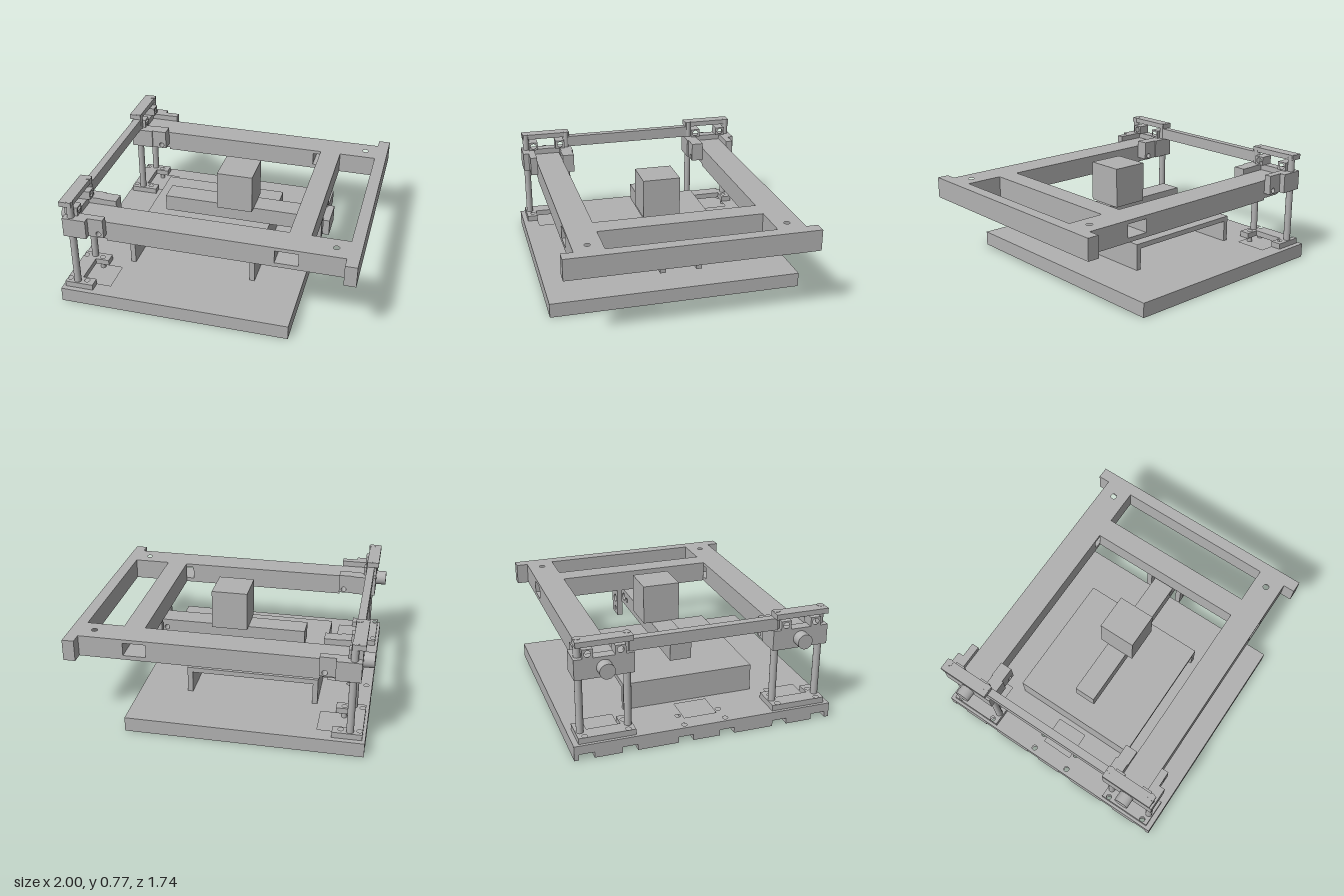
import * as THREE from 'three';

const grey = new THREE.MeshStandardMaterial({ color: 0xb2b2b2 });
grey.name = 'machined grey';

function add(parent, name, geometry) {
  const mesh = new THREE.Mesh(geometry, grey);
  mesh.name = name;
  parent.add(mesh);
  return mesh;
}

// Box given by its limits on each axis
function box(parent, name, x0, x1, y0, y1, z0, z1) {
  const g = new THREE.BoxGeometry(Math.abs(x1 - x0), Math.abs(y1 - y0), Math.abs(z1 - z0));
  g.translate((x0 + x1) / 2, (y0 + y1) / 2, (z0 + z1) / 2);
  return add(parent, name, g);
}

const rect = (a0, a1, b0, b1) => [[a0, b0], [a1, b0], [a1, b1], [a0, b1]];

// Outline with round holes [a, b, radius] and polygon windows, extruded from lo to hi.
// Outline coordinates: axis y -> (x, z), axis z -> (x, y), axis x -> (z, y)
function plate(parent, name, axis, outline, lo, hi, holes = [], windows = []) {
  const map = ([a, b]) => axis === 'y' ? new THREE.Vector2(a, -b)
    : axis === 'x' ? new THREE.Vector2(-a, b) : new THREE.Vector2(a, b);
  const shape = new THREE.Shape(outline.map(map));
  for (const [a, b, r] of holes) {
    const c = map([a, b]);
    shape.holes.push(new THREE.Path().absarc(c.x, c.y, r, 0, Math.PI * 2, true));
  }
  for (const w of windows) shape.holes.push(new THREE.Path(w.map(map)));
  const g = new THREE.ExtrudeGeometry(shape, { depth: hi - lo, bevelEnabled: false, curveSegments: 16 });
  g.translate(0, 0, lo);
  if (axis === 'y') g.rotateX(-Math.PI / 2);
  if (axis === 'x') g.rotateY(Math.PI / 2);
  return add(parent, name, g);
}

// Base plate: notched underside, drilled middle, pocketed top
function buildBase() {
  const g = new THREE.Group();
  g.name = 'base';
  const stations = [-0.65, 0, 0.65];
  const holes = [], pockets = [], notched = [[0.595, -0.87], [0.595, 0.87], [-0.98, 0.87]];
  for (const c of stations) {
    pockets.push(rect(-0.86, -0.665, c - 0.11, c + 0.11));
    for (const x of [-0.94, -0.82]) for (const d of [-0.14, 0.14]) holes.push([x, c + d, 0.018]);
  }
  for (const c of [0.79, 0.51, 0.14, -0.14, -0.51, -0.79]) {
    notched.push([-0.98, c + 0.05], [-0.9, c + 0.05], [-0.9, c + 0.035], [-0.79, c + 0.035],
      [-0.79, c - 0.035], [-0.9, c - 0.035], [-0.9, c - 0.05], [-0.98, c - 0.05]);
  }
  notched.push([-0.98, -0.87]);
  const full = rect(-0.98, 0.595, -0.87, 0.87);
  plate(g, 'baseUnderside', 'y', notched, 0, 0.04, []);
  plate(g, 'baseCore', 'y', full, 0.04, 0.06, holes);
  plate(g, 'baseTop', 'y', full, 0.06, 0.1, holes, pockets);
  return g;
}

// Swinging frame with two side rails and two cross members
function buildFrame() {
  const g = new THREE.Group();
  g.name = 'frame';
  const profile = [[0.665, 0.47], [0.665, 0.615], [-0.86, 0.615], [-0.86, 0.53], [-0.84, 0.5],
    [-0.8, 0.485], [-0.665, 0.485], [-0.665, 0.47]];
  for (const s of [1, -1]) {
    const [lo, hi] = s > 0 ? [0.555, 0.75] : [-0.75, -0.555];
    plate(g, 'sideRail', 'z', profile, lo, hi, [[-0.7, 0.545, 0.018], [-0.77, 0.545, 0.018]],
      [rect(0.465, 0.62, 0.5, 0.59)]);
    plate(g, 'railEnd', 'y', rect(0.665, 0.92, lo, hi), 0.47, 0.615, [[0.84, s * 0.65, 0.02]]);
  }
  box(g, 'endBar', 0.92, 1, 0.47, 0.615, -0.83, 0.83);
  box(g, 'crossBar', 0.52, 0.665, 0.47, 0.615, -0.555, 0.555);
  return g;
}

// Guide post station, one at each end of the rear edge
function buildStation(s) {
  const g = new THREE.Group();
  g.name = 'guideStation';
  const c = s * 0.65;
  // U-shaped foot
  plate(g, 'foot', 'y', [[-0.96, c - 0.185], [-0.765, c - 0.185], [-0.765, c - 0.11], [-0.86, c - 0.11],
    [-0.86, c + 0.11], [-0.765, c + 0.11], [-0.765, c + 0.185], [-0.96, c + 0.185]], 0.1, 0.14,
  [-0.94, -0.82].flatMap(x => [-0.14, 0.14].map(d => [x, c + d, 0.018])));
  // Sliding fork around the rail tail
  plate(g, 'slidingFork', 'y', [[-0.93, c - 0.19], [-0.77, c - 0.19], [-0.77, c - 0.1], [-0.862, c - 0.1],
    [-0.862, c + 0.1], [-0.77, c + 0.1], [-0.77, c + 0.19], [-0.93, c + 0.19]], 0.52, 0.655);
  for (const [a, b] of [[0.1, 0.15], [-0.18, -0.095]]) {
    const z = [c + s * a, c + s * b].sort((p, q) => p - q);
    plate(g, 'clampCheek', 'z', rect(-0.77, -0.665, 0.52, 0.655), z[0], z[1], [[-0.7, 0.545, 0.018]]);
  }
  // Posts, drilled lugs and top cap
  for (const d of [-1, 1]) {
    const post = add(g, 'post', new THREE.CylinderGeometry(0.024, 0.024, 0.635, 24));
    post.position.set(-0.88, 0.4575, c + d * 0.155);
    const z = c + d * 0.103;
    plate(g, 'drilledLug', 'x', rect(z - 0.034, z + 0.034, 0.655, 0.715), -0.93, -0.84, [[z, 0.685, 0.021]]);
  }
  box(g, 'topCap', -0.945, -0.862, 0.737, 0.773, c - 0.18, c + 0.18);
  const knob = add(g, 'knob', new THREE.CylinderGeometry(0.05, 0.05, 0.08, 32));
  knob.rotation.z = Math.PI / 2;
  knob.position.set(-0.96, 0.585, c);
  return g;
}

// Hanging arm with its brackets and weight
function buildArm() {
  const g = new THREE.Group();
  g.name = 'weightedArm';
  plate(g, 'arm', 'z', rect(-0.485, 0.665, 0.33, 0.445), -0.075, 0.075,
    [[0.51, 0.385, 0.018], [0.59, 0.385, 0.03]]);
  box(g, 'armHead', 0.665, 0.71, 0.33, 0.445, -0.1, 0.1);
  for (const [lo, hi] of [[0.105, 0.143], [-0.143, -0.105]]) {
    plate(g, 'hangerBracket', 'z', rect(0.53, 0.663, 0.265, 0.47), lo, hi,
      [[0.59, 0.385, 0.03], [0.59, 0.305, 0.018]]);
  }
  box(g, 'weight', -0.085, 0.165, 0.445, 0.72, -0.13, 0.13);
  return g;
}

export function createModel() {
  const model = new THREE.Group();
  model.name = 'pressRig';
  model.add(buildBase(), buildFrame(), buildArm(), buildStation(1), buildStation(-1));
  // Work table: a bent sheet on two legs
  plate(model, 'workTable', 'z', [[-0.63, 0.1], [-0.595, 0.1], [-0.595, 0.25], [0.232, 0.25],
    [0.232, 0.1], [0.268, 0.1], [0.268, 0.285], [-0.63, 0.285]], -0.45, 0.45);
  // Tie bar between the two stations
  box(model, 'tieBar', -0.915, -0.862, 0.657, 0.737, -0.49, 0.49);
  return model;
}
